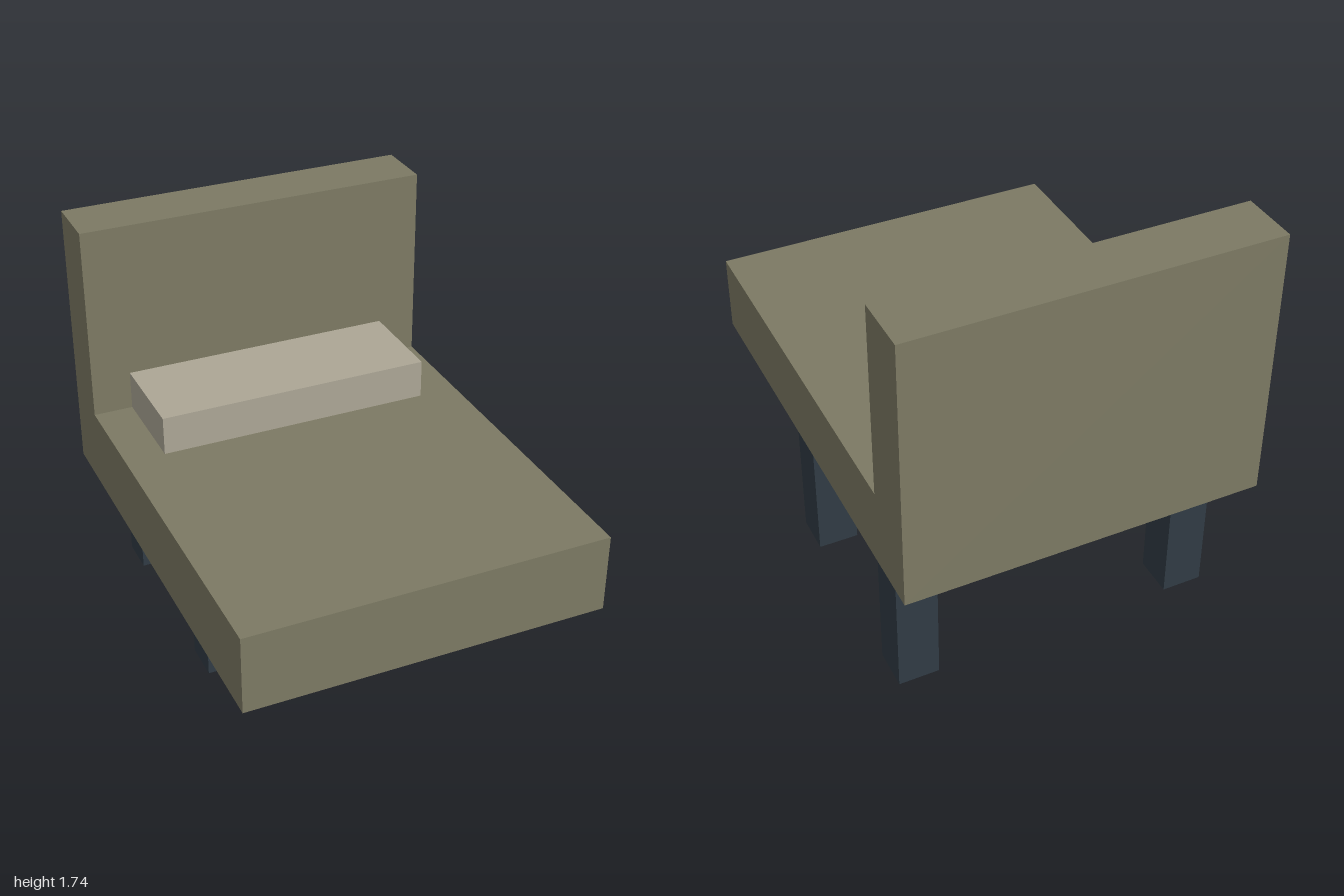
import * as THREE from 'three';

const material = (color) => new THREE.MeshStandardMaterial({ color });

// Box given by its lower and upper bounds on each axis
function block(name, [x0, x1], [y0, y1], [z0, z1], mat) {
  const mesh = new THREE.Mesh(new THREE.BoxGeometry(x1 - x0, y1 - y0, z1 - z0), mat);
  mesh.position.set((x0 + x1) / 2, (y0 + y1) / 2, (z0 + z1) / 2);
  mesh.name = name;
  return mesh;
}

export function createModel() {
  const model = new THREE.Group();
  model.name = 'lowChair';
  const upholstery = material(0x7c7963);
  const cushionFabric = material(0xaca695);
  const darkWood = material(0x303b44);

  const halfWidth = 0.783, seatBottom = 0.522, seatTop = 0.87, backFront = -0.739;

  // Seat and backrest: one L-shaped side profile (z, y) extruded across the width
  const profile = new THREE.Shape([
    [-1, seatBottom], [1, seatBottom], [1, seatTop],
    [backFront, seatTop], [backFront, 1.739], [-1, 1.739],
  ].map(([z, y]) => new THREE.Vector2(z, y)));
  const body = new THREE.ExtrudeGeometry(profile, { depth: 2 * halfWidth, bevelEnabled: false });
  body.rotateY(-Math.PI / 2).translate(halfWidth, 0, 0);
  const seatAndBack = new THREE.Mesh(body, upholstery);
  seatAndBack.name = 'seatAndBackrest';
  model.add(seatAndBack);

  // Cushion resting against the backrest
  model.add(block('cushion', [-0.609, 0.609], [seatTop, 1.043], [backFront, -0.304], cushionFabric));

  // Four square legs, flush with the left side and inset on the right
  const legSize = 0.174;
  for (const [side, x] of [['Right', -0.609], ['Left', 0.609]]) {
    for (const [end, z] of [['back', -0.913], ['front', -0.043]]) {
      model.add(block(`${end}${side}Leg`, [x, x + legSize], [0, seatBottom], [z, z + legSize], darkWood));
    }
  }
  return model;
}
